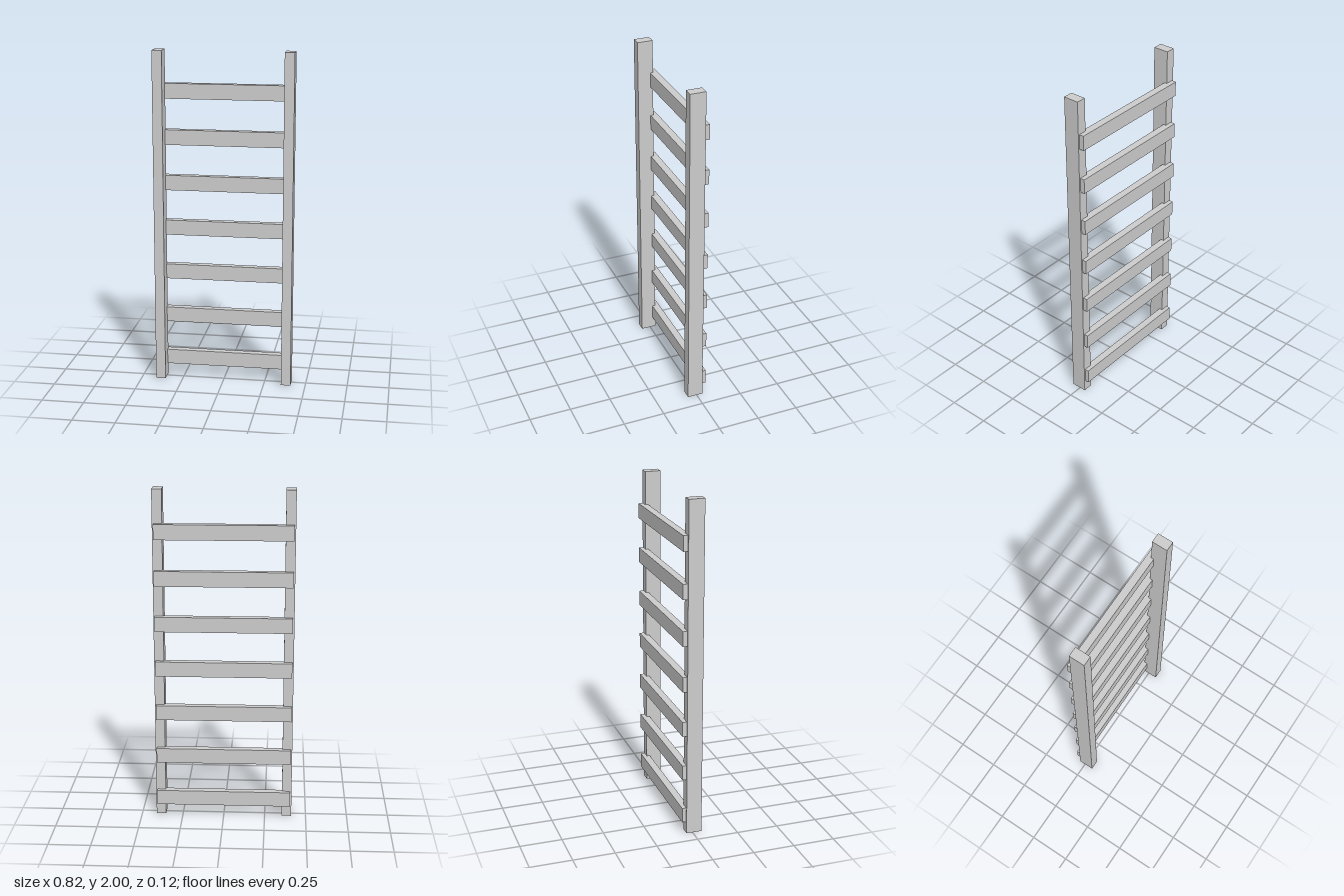
import * as THREE from 'three';

export function createModel() {
  const ladder = new THREE.Group();
  ladder.name = 'ladder';
  const material = new THREE.MeshStandardMaterial({ color: 0xcccccc, flatShading: true });

  const addBox = (name, size, position) => {
    const mesh = new THREE.Mesh(new THREE.BoxGeometry(...size), material);
    mesh.name = name;
    mesh.position.set(...position);
    ladder.add(mesh);
    return mesh;
  };

  // Two upright side rails, leaning very slightly forward at the top
  for (const [side, name] of [[1, 'leftRail'], [-1, 'rightRail']]) {
    const rail = addBox(name, [0.058, 2, 0.093], [side * 0.383, 1, 0.011]);
    const p = rail.geometry.attributes.position;
    for (let i = 0; i < p.count; i++) p.setZ(i, p.getZ(i) + 0.002 * p.getY(i));
  }

  // Seven flat rungs let into the back of the rails
  for (let i = 0; i < 7; i++) {
    addBox(`rung${i + 1}`, [0.807, 0.09, 0.044], [0, 0.117 + i * 0.2732, -0.0395]);
  }
  return ladder;
}
